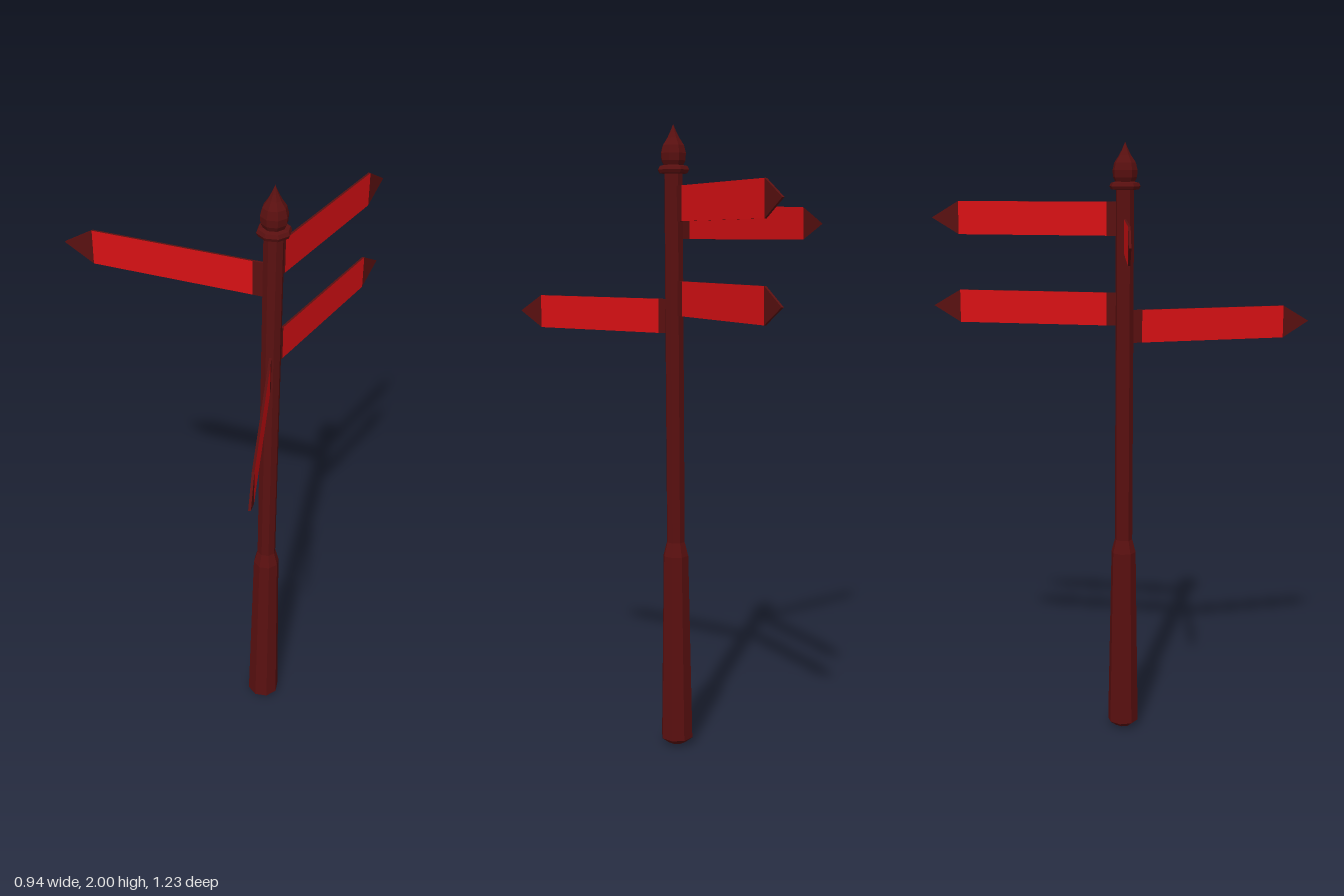
import * as THREE from 'three';

const dark = new THREE.MeshStandardMaterial({ color: 0x5a1010, flatShading: true });
const red = new THREE.MeshStandardMaterial({ color: 0xd81014, flatShading: true });

const HALF = 0.054; // half height of a sign
const THICK = 0.007;

// Faceted turned part from [radius, height] pairs, bottom to top
function turned(name, profile, sides = 8) {
  const points = profile.map(([r, y]) => new THREE.Vector2(r, y));
  const mesh = new THREE.Mesh(new THREE.LatheGeometry(points, sides), dark);
  mesh.name = name;
  return mesh;
}

// Thin plate with the given outline, centred on z = 0
function plate(name, outline, faceMaterial) {
  const shape = new THREE.Shape(outline.map(([x, y]) => new THREE.Vector2(x, y)));
  const geometry = new THREE.ExtrudeGeometry(shape, { depth: THICK, bevelEnabled: false });
  geometry.translate(0, 0, -THICK / 2);
  const mesh = new THREE.Mesh(geometry, [faceMaterial, dark]);
  mesh.name = name;
  return mesh;
}

// Pointing sign: dark mount, red panel, dark arrow tip, reaching along +x
function sign(name, y, dx, dz) {
  const group = new THREE.Group();
  const rect = (a, b) => [[a, -HALF], [b, -HALF], [b, HALF], [a, HALF]];
  group.add(
    plate('signMount', rect(0.02, 0.06), dark),
    plate('signPanel', rect(0.06, 0.56), red),
    plate('signTip', [[0.56, -HALF], [0.652, 0], [0.56, HALF]], dark)
  );
  group.name = name;
  group.position.y = y;
  group.rotation.y = Math.atan2(-dz, dx);
  return group;
}

export function createModel() {
  const model = new THREE.Group();
  model.name = 'signpost';
  model.position.set(0.167, 0, 0.035);

  // Post, from the wide foot up to the collar
  model.add(turned('base', [
    [0, 0], [0.03, 0.006], [0.053, 0.024], [0.042, 0.64], [0.03, 0.685]
  ]));
  model.add(turned('shaft', [[0.03, 0.68], [0.03, 1.855]]));
  model.add(turned('collar', [
    [0.028, 1.85], [0.046, 1.852], [0.051, 1.862], [0.046, 1.873], [0.028, 1.877]
  ]));

  // Bulb with a pointed top
  model.add(turned('finial', [
    [0.03, 1.872], [0.039, 1.89], [0.041, 1.912], [0.035, 1.936],
    [0.02, 1.958], [0.011, 1.975], [0, 2]
  ]));

  // Signs, each with its height and pointing direction
  model.add(
    sign('rightSign', 1.705, -0.637, 0.14),
    sign('frontSign', 1.411, 0.298, 0.58),
    sign('upperBackSign', 1.759, -0.004, -0.65),
    sign('lowerBackSign', 1.468, -0.004, -0.65)
  );

  const root = new THREE.Group();
  root.name = 'model';
  root.add(model);
  return root;
}
